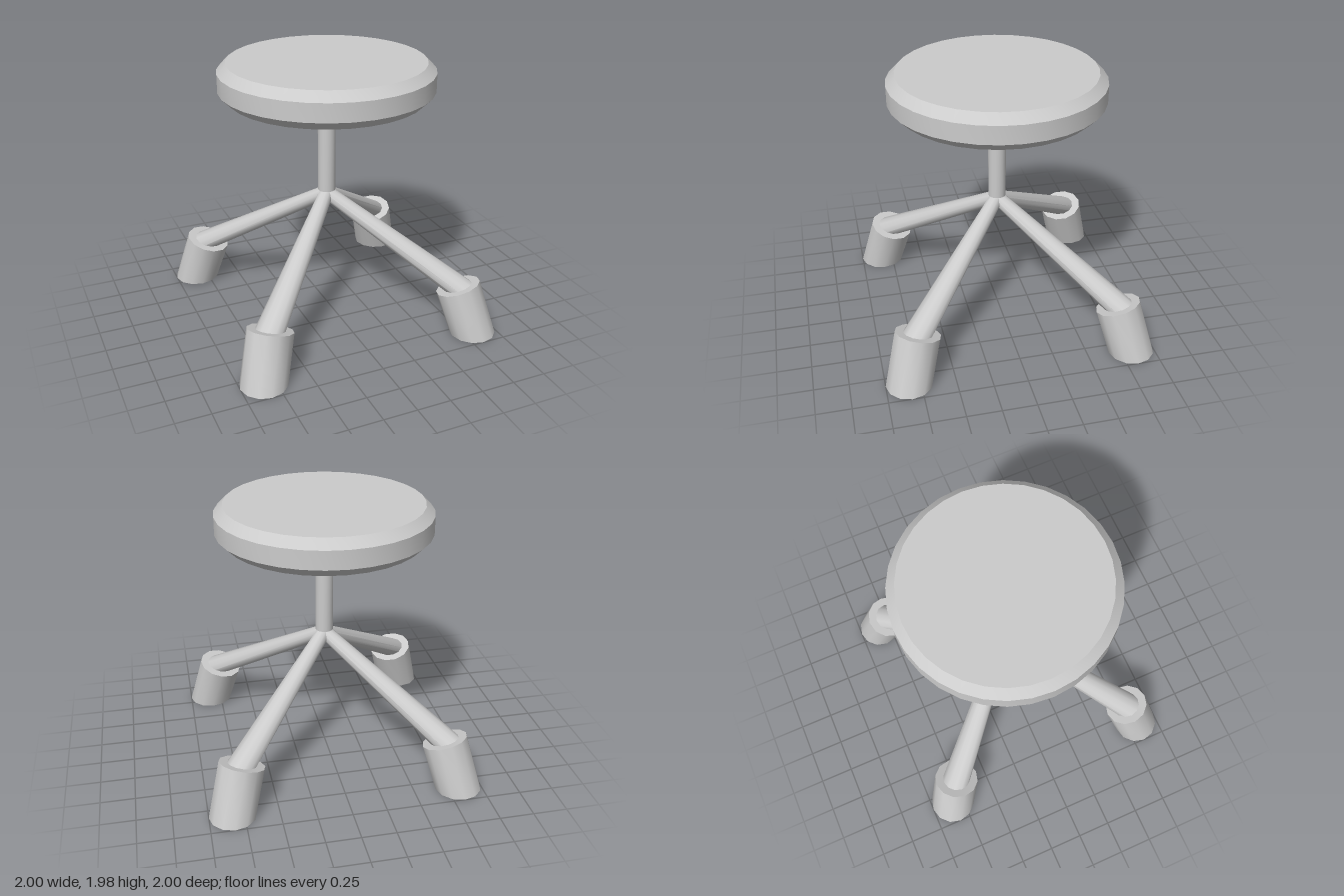
import * as THREE from 'three';
import { toCreasedNormals } from 'three/addons/utils/BufferGeometryUtils.js';

const SIDES = 12;
const CREASE = 0.65;

// Closed skin over rings listed from top to bottom; each ring is a circle
// centred at (0, y, z) and tilted about the x axis.
function loft(rings) {
  const positions = [];
  const index = [];
  rings.forEach(({ y, z, r, tilt }) => {
    for (let j = 0; j < SIDES; j++) {
      const a = ((j + 0.5) / SIDES) * Math.PI * 2;
      const s = r * Math.sin(a);
      positions.push(r * Math.cos(a), y + s * Math.sin(tilt), z + s * Math.cos(tilt));
    }
  });
  for (let i = 0; i < rings.length - 1; i++) {
    for (let j = 0; j < SIDES; j++) {
      const k = (j + 1) % SIDES;
      const a = i * SIDES + j, b = i * SIDES + k;
      const c = a + SIDES, d = b + SIDES;
      if (rings[i].r > 0) index.push(a, b, c);
      if (rings[i + 1].r > 0) index.push(b, d, c);
    }
  }
  const geometry = new THREE.BufferGeometry();
  geometry.setAttribute('position', new THREE.Float32BufferAttribute(positions, 3));
  geometry.setIndex(index);
  return toCreasedNormals(geometry, CREASE);
}

export function createModel() {
  const model = new THREE.Group();
  model.name = 'stool';
  const material = new THREE.MeshStandardMaterial({ color: 0xcccccc });

  const add = (name, geometry) => {
    const mesh = new THREE.Mesh(geometry, material);
    mesh.name = name;
    model.add(mesh);
    return mesh;
  };

  // Round seat with bevelled upper and lower edges
  const profile = [[0, 1.715], [0.72, 1.715], [0.785, 1.78], [0.785, 1.915], [0.72, 1.98], [0, 1.98]]
    .map(([x, y]) => new THREE.Vector2(x, y));
  add('seat', toCreasedNormals(new THREE.LatheGeometry(profile, 32), CREASE));

  // Central post
  const post = new THREE.CylinderGeometry(0.066, 0.066, 0.75, 16);
  post.translate(0, 1.355, 0);
  add('post', toCreasedNormals(post, CREASE));

  // Tapered leg running into a wider, leaning foot cut flat at the floor
  const lean = 0.34;
  const leg = loft([
    { y: 0.955, z: 0, r: 0, tilt: 1.055 },
    { y: 0.955, z: 0, r: 0.053, tilt: 1.055 },
    { y: 0.36, z: 1.047, r: 0.105, tilt: lean },
  ]);
  const foot = loft([
    { y: 0.36, z: 1.047, r: 0, tilt: lean },
    { y: 0.36, z: 1.047, r: 0.167, tilt: lean },
    { y: 0, z: 1.175, r: 0.17, tilt: 0 },
    { y: 0, z: 1.175, r: 0, tilt: 0 },
  ]);
  ['frontLeft', 'backLeft', 'backRight', 'frontRight'].forEach((corner, i) => {
    const angle = Math.PI / 4 + (i * Math.PI) / 2;
    add(corner + 'Leg', leg).rotation.y = angle;
    add(corner + 'Foot', foot).rotation.y = angle;
  });

  return model;
}
